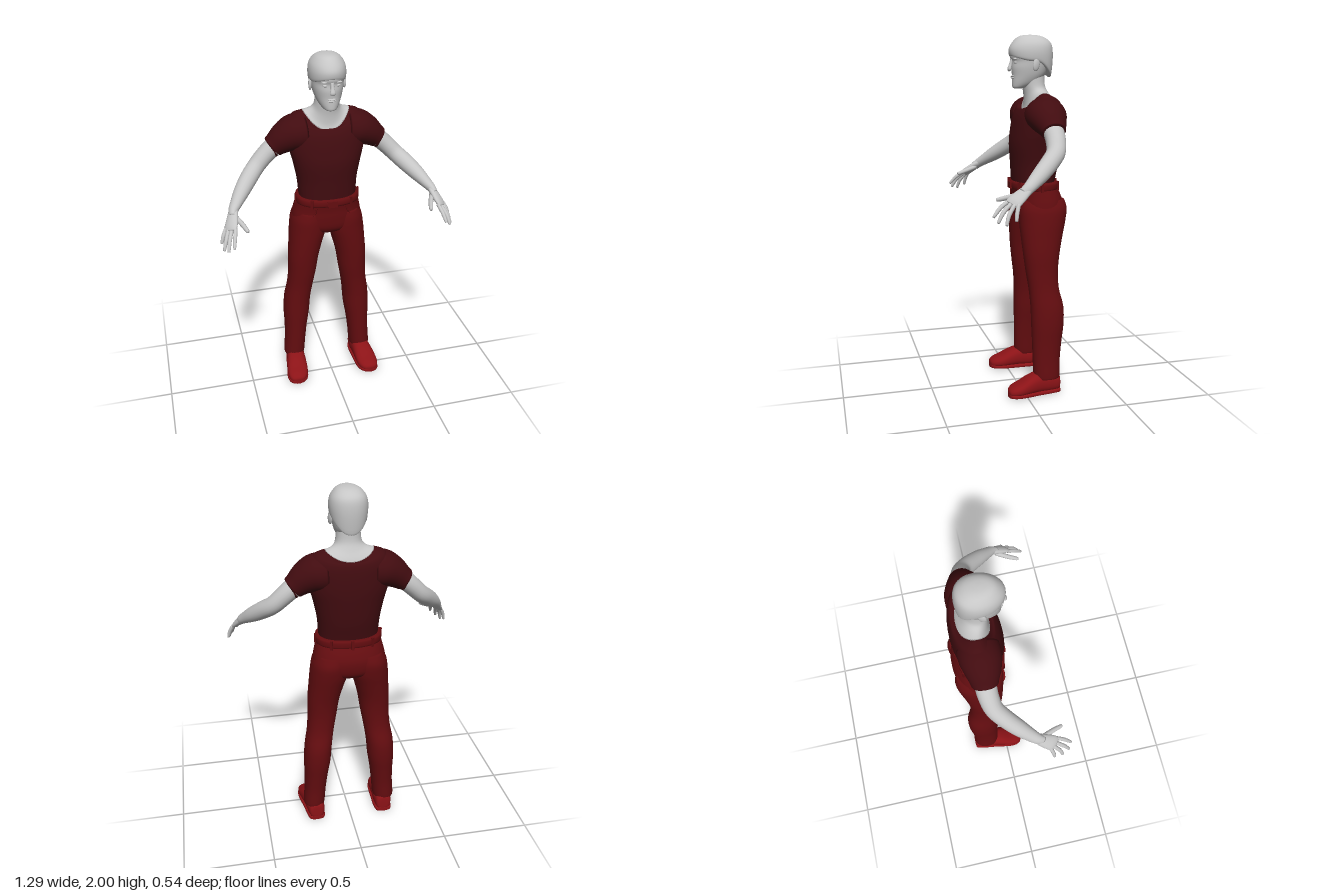
import * as THREE from 'three';

const flat = (name, color) => Object.assign(new THREE.MeshStandardMaterial({ color }), { name });
const V = (x, y, z) => new THREE.Vector3(x, y, z);

// Smoothly resample rows of numbers (Catmull-Rom on every column)
function refine(rows, sub) {
  const cr = (a, b, c, d, t) =>
    0.5 * (2 * b + (c - a) * t + (2 * a - 5 * b + 4 * c - d) * t * t + (3 * b - a - 3 * c + d) * t ** 3);
  const out = [];
  const n = rows.length - 1;
  for (let i = 0; i < n; i++) {
    const [a, b, c, d] = [rows[Math.max(i - 1, 0)], rows[i], rows[i + 1], rows[Math.min(i + 2, n)]];
    for (let k = 0; k < sub; k++) out.push(b.map((_, q) => cr(a[q], b[q], c[q], d[q], k / sub)));
  }
  out.push(rows[n]);
  return out;
}

// Skin a list of rings, closing both ends
function skinRings(rings) {
  const seg = rings[0].length, last = rings.length - 1;
  const pts = rings.flat(), index = [];
  for (let i = 0; i < last; i++) {
    for (let j = 0; j < seg; j++) {
      const k = (j + 1) % seg;
      const a = i * seg + j, b = i * seg + k;
      index.push(a, a + seg, b, b, a + seg, b + seg);
    }
  }
  const centre = ring => ring.reduce((s, p) => s.add(p), V(0, 0, 0)).divideScalar(seg);
  const c0 = pts.push(centre(rings[0])) - 1;
  const c1 = pts.push(centre(rings[last])) - 1;
  for (let j = 0; j < seg; j++) {
    const k = (j + 1) % seg;
    index.push(c0, j, k, last * seg + j, c1, last * seg + k);
  }
  const geo = new THREE.BufferGeometry().setFromPoints(pts);
  geo.setIndex(index);
  geo.computeVertexNormals();
  return geo;
}

// Rounded cross-section: pairs of cos/sin raised towards a box by p
function section(seg, p) {
  const pow = v => Math.sign(v) * Math.abs(v) ** (2 / p);
  return Array.from({ length: seg }, (_, j) => {
    const t = (j / seg) * Math.PI * 2;
    return [pow(Math.cos(t)), pow(Math.sin(t))];
  });
}

// Upright form; rows are [y, centreX, radiusX, frontZ, backZ, frontDrop, backDrop]
function upright(rows, { p = 2, taper = 0, seg = 40, sub = 4 } = {}) {
  const full = rows.map(r => Array.from({ length: 7 }, (_, i) => r[i] ?? 0));
  return skinRings(refine(full, sub).map(([y, cx, rx, zf, zb, fd, bd]) =>
    section(seg, p).map(([c, s]) =>
      V(cx + rx * c * (1 - taper * s), y - (s > 0 ? fd : bd) * s * s, (zf + zb) / 2 + ((zf - zb) / 2) * s))));
}

// Form along a path; rows are [x, y, z, thickness, width], width lying along ref
function limb(rows, { ref = V(0, 0, 1), seg = 20, sub = 4 } = {}) {
  const path = refine(rows, sub);
  const at = i => V(...path[Math.min(Math.max(i, 0), path.length - 1)].slice(0, 3));
  return skinRings(path.map((r, i) => {
    const d = at(i + 1).sub(at(i - 1)).normalize();
    const u = ref.clone().cross(d).normalize();
    const v = u.clone().cross(d);
    return section(seg, 2).map(([c, s]) => at(i).addScaledVector(u, r[3] * c).addScaledVector(v, r[4] * s));
  }));
}

// Form along z; rows are [z, centreX, radiusX, bottomY, topY]
function lengthwise(rows, p) {
  return skinRings(refine(rows, 4).map(([z, cx, rx, y0, y1]) =>
    section(28, p).map(([c, s]) => V(cx + rx * c, (y0 + y1) / 2 - ((y1 - y0) / 2) * s, z))));
}

function ball(x, y, z, rx, ry, rz) {
  return new THREE.SphereGeometry(1, 20, 14).scale(rx, ry, rz).translate(x, y, z);
}

function mirrored(geo) {
  const g = geo.clone().scale(-1, 1, 1);
  const ix = g.index.array;
  for (let i = 0; i < ix.length; i += 3) [ix[i], ix[i + 1]] = [ix[i + 1], ix[i]];
  g.computeVertexNormals();
  return g;
}

export function createModel() {
  const skin = flat('skin grey', 0xc6c6c6);
  const shirt = flat('shirt maroon', 0x420c10);
  const trousers = flat('trouser red', 0x640d10);
  const leather = flat('shoe red', 0x8c1317);
  const model = new THREE.Group();
  model.name = 'standingMan';
  const add = (name, geo, mat) => {
    const m = new THREE.Mesh(geo, mat);
    m.name = name;
    model.add(m);
  };
  const pair = (name, geo, mat) => {
    add(name + 'Left', geo, mat);
    add(name + 'Right', mirrored(geo), mat);
  };

  // Shirt, ending in a scooped neckline
  const neckline = [1.685, 0, 0.13, -0.045, -0.215, 0.1, 0.05];
  add('shirtBody', upright([
    [1.17, 0, 0.163, 0.013, -0.215], [1.22, 0, 0.165, 0.016, -0.224], [1.3, 0, 0.172, 0.02, -0.24],
    [1.4, 0, 0.192, 0.025, -0.25], [1.48, 0, 0.212, 0.015, -0.255], [1.56, 0, 0.218, 0, -0.253, 0.01],
    [1.62, 0, 0.212, -0.018, -0.247, 0.03, 0.01], [1.665, 0, 0.185, -0.03, -0.236, 0.065, 0.03], neckline,
  ], { p: 2.25, seg: 56 }), shirt);
  pair('sleeve', limb([
    [0.12, 1.565, -0.13, 0.1, 0.11], [0.18, 1.56, -0.128, 0.1, 0.11], [0.235, 1.535, -0.128, 0.085, 0.094],
    [0.28, 1.503, -0.13, 0.067, 0.074], [0.298, 1.489, -0.13, 0.062, 0.066], [0.299, 1.488, -0.13, 0.055, 0.058],
  ], { seg: 32 }), shirt);

  // Neck and the bare skin above the neckline
  add('neck', upright([
    neckline, [1.69, 0, 0.105, -0.052, -0.205, 0.075, 0.035], [1.703, 0, 0.08, -0.052, -0.185, 0.035, 0.015],
    [1.73, 0, 0.067, -0.043, -0.168], [1.8, 0, 0.062, -0.035, -0.165],
  ], { p: 2.1, seg: 56 }), skin);

  // Head and hair
  add('head', upright([
    [1.71, 0, 0.02, 0.004, -0.03], [1.717, 0, 0.036, 0.014, -0.07], [1.742, 0, 0.056, 0.016, -0.125],
    [1.78, 0, 0.073, 0.016, -0.165], [1.82, 0, 0.083, 0.02, -0.185], [1.855, 0, 0.088, 0.018, -0.198],
    [1.88, 0, 0.09, 0.026, -0.204], [1.92, 0, 0.09, 0.022, -0.205], [1.96, 0, 0.074, 0, -0.185],
    [1.985, 0, 0.03, -0.04, -0.13],
  ], { p: 2.15, taper: 0.08 }), skin);
  add('hair', upright([
    [1.856, 0, 0.087, 0.022, -0.195, -0.03, 0.085], [1.868, 0, 0.097, 0.032, -0.204, -0.022, 0.085],
    [1.91, 0, 0.1, 0.035, -0.212, -0.01, 0.03], [1.95, 0, 0.091, 0.022, -0.204],
    [1.982, 0, 0.066, -0.006, -0.172], [1.996, 0, 0.038, -0.035, -0.135], [2, 0, 0.008, -0.075, -0.095],
  ], { p: 2.1, taper: 0.08 }), skin);
  add('nose', limb([
    [0, 1.868, 0.018, 0.008, 0.009], [0, 1.84, 0.026, 0.009, 0.01], [0, 1.815, 0.033, 0.011, 0.016],
    [0, 1.806, 0.03, 0.006, 0.01],
  ], { ref: V(1, 0, 0), seg: 14 }), skin);
  for (const [name, y] of [['upperLip', 1.777], ['lowerLip', 1.768]]) {
    add(name, ball(0, y, 0.014, 0.023, 0.005, 0.01), skin);
  }
  pair('eye', ball(0.033, 1.85, 0.006, 0.015, 0.007, 0.009), skin);
  pair('brow', ball(0.034, 1.868, 0.01, 0.022, 0.006, 0.01), skin);
  pair('ear', ball(0, 0, 0, 0.01, 0.037, 0.021).rotateX(-0.2).rotateY(0.3).translate(0.091, 1.84, -0.095), skin);

  // Arms, palms and fingers
  pair('arm', limb([
    [0.25, 1.52, -0.13, 0.05, 0.055], [0.3, 1.485, -0.13, 0.052, 0.056], [0.35, 1.44, -0.125, 0.05, 0.053],
    [0.4, 1.39, -0.108, 0.048, 0.05], [0.45, 1.345, -0.06, 0.048, 0.048], [0.5, 1.298, 0, 0.042, 0.044],
    [0.54, 1.257, 0.055, 0.031, 0.035], [0.56, 1.235, 0.085, 0.025, 0.03], [0.57, 1.215, 0.11, 0.018, 0.028],
  ]), skin);
  pair('palm', limb([
    [0.557, 1.237, 0.08, 0.02, 0.027], [0.573, 1.205, 0.125, 0.019, 0.037],
    [0.585, 1.18, 0.16, 0.016, 0.042], [0.592, 1.165, 0.178, 0.009, 0.037],
  ], { ref: V(0.04, -0.01, -0.055).normalize() }), skin);
  const fingers = {
    thumb: [[0.553, 1.21, 0.11], [0.525, 1.192, 0.175], [0.507, 1.178, 0.228]],
    indexFinger: [[0.564, 1.18, 0.185], [0.575, 1.15, 0.23], [0.585, 1.11, 0.265]],
    middleFinger: [[0.584, 1.17, 0.178], [0.603, 1.13, 0.223], [0.614, 1.085, 0.25]],
    ringFinger: [[0.6, 1.165, 0.165], [0.62, 1.12, 0.198], [0.633, 1.075, 0.213]],
    littleFinger: [[0.61, 1.168, 0.147], [0.629, 1.13, 0.16], [0.639, 1.093, 0.166]],
  };
  for (const [name, [a, b, c]] of Object.entries(fingers)) {
    const r = name === 'thumb' ? 0.013 : 0.0105;
    const tip = c.map((v, i) => v + (c[i] - b[i]) * 0.1);
    pair(name, limb([[...a, r, r], [...b, r, r], [...c, r * 0.75, r * 0.75], [...tip, 0.002, 0.002]],
      { seg: 12, sub: 3 }), skin);
  }

  // Trousers: seat and two legs
  add('trouserSeat', upright([
    [0.95, 0, 0.07, -0.06, -0.19], [0.975, 0, 0.15, -0.02, -0.235], [1.01, 0, 0.203, 0.002, -0.258],
    [1.07, 0, 0.2, 0.01, -0.265], [1.12, 0, 0.189, 0.012, -0.252], [1.165, 0, 0.178, 0.018, -0.23],
  ], { p: 2.3, seg: 48 }), trousers);
  pair('trouserLeg', upright([
    [0.098, 0.212, 0.056, -0.06, -0.195], [0.1, 0.212, 0.062, -0.053, -0.203], [0.2, 0.204, 0.063, -0.05, -0.206],
    [0.3, 0.197, 0.068, -0.048, -0.217], [0.4, 0.19, 0.077, -0.045, -0.23], [0.5, 0.182, 0.078, -0.043, -0.23],
    [0.6, 0.166, 0.077, -0.036, -0.208], [0.7, 0.153, 0.082, -0.022, -0.205], [0.8, 0.144, 0.089, -0.01, -0.216],
    [0.9, 0.127, 0.098, -0.001, -0.238], [0.98, 0.112, 0.106, 0.004, -0.258], [1.05, 0.107, 0.099, 0.006, -0.268],
    [1.1, 0.1, 0.08, 0, -0.255],
  ], { p: 2.15, seg: 36 }), trousers);

  // Raised seams around the front pockets
  const hipZ = x => -0.123 + 0.137 * (1 - Math.min(x / 0.192, 1) ** 2.3) ** (1 / 2.3);
  const seam = [[0.085, 1.145], [0.095, 1.11], [0.125, 1.085], [0.16, 1.07], [0.188, 1.06]];
  pair('pocketSeam', new THREE.TubeGeometry(
    new THREE.CatmullRomCurve3(seam.map(([x, y]) => V(x, y, hipZ(x)))), 24, 0.004, 6), trousers);

  // Belt with loops and buckle
  add('belt', upright([
    [1.152, 0, 0.174, 0.014, -0.226], [1.156, 0, 0.181, 0.026, -0.236], [1.175, 0, 0.183, 0.029, -0.238],
    [1.194, 0, 0.18, 0.025, -0.236], [1.198, 0, 0.163, 0.012, -0.218],
  ], { p: 2.3, seg: 48, sub: 2 }), trousers);
  for (const deg of [55, 125, 180, 0, 235, 270, 305]) {
    const a = THREE.MathUtils.degToRad(deg);
    const [c, s] = [Math.cos(a), Math.sin(a)].map(v => Math.sign(v) * Math.abs(v) ** (2 / 2.3));
    const loop = new THREE.BoxGeometry(0.014, 0.052, 0.012).rotateY(Math.PI / 2 - a);
    add('beltLoop', loop.translate(0.182 * c, 1.174, -0.105 + 0.133 * s), trousers);
  }
  add('buckle', new THREE.BoxGeometry(0.055, 0.036, 0.014).translate(0, 1.174, 0.03), trousers);

  // Shoes and soles
  const shoe = [
    [-0.205, 0.205, 0.02, 0.03, 0.075], [-0.196, 0.205, 0.043, 0.008, 0.11], [-0.14, 0.207, 0.053, 0.003, 0.125],
    [-0.08, 0.212, 0.056, 0.005, 0.128], [-0.02, 0.218, 0.061, 0.004, 0.107], [0.03, 0.223, 0.063, 0.003, 0.08],
    [0.07, 0.227, 0.055, 0.005, 0.063], [0.094, 0.23, 0.036, 0.01, 0.048], [0.101, 0.231, 0.012, 0.02, 0.036],
  ];
  pair('shoe', lengthwise(shoe, 2.4), leather);
  pair('sole', lengthwise(shoe.map(([z, x, r]) => [z, x, r + 0.002, 0, 0.024]), 4), leather);
  return model;
}
